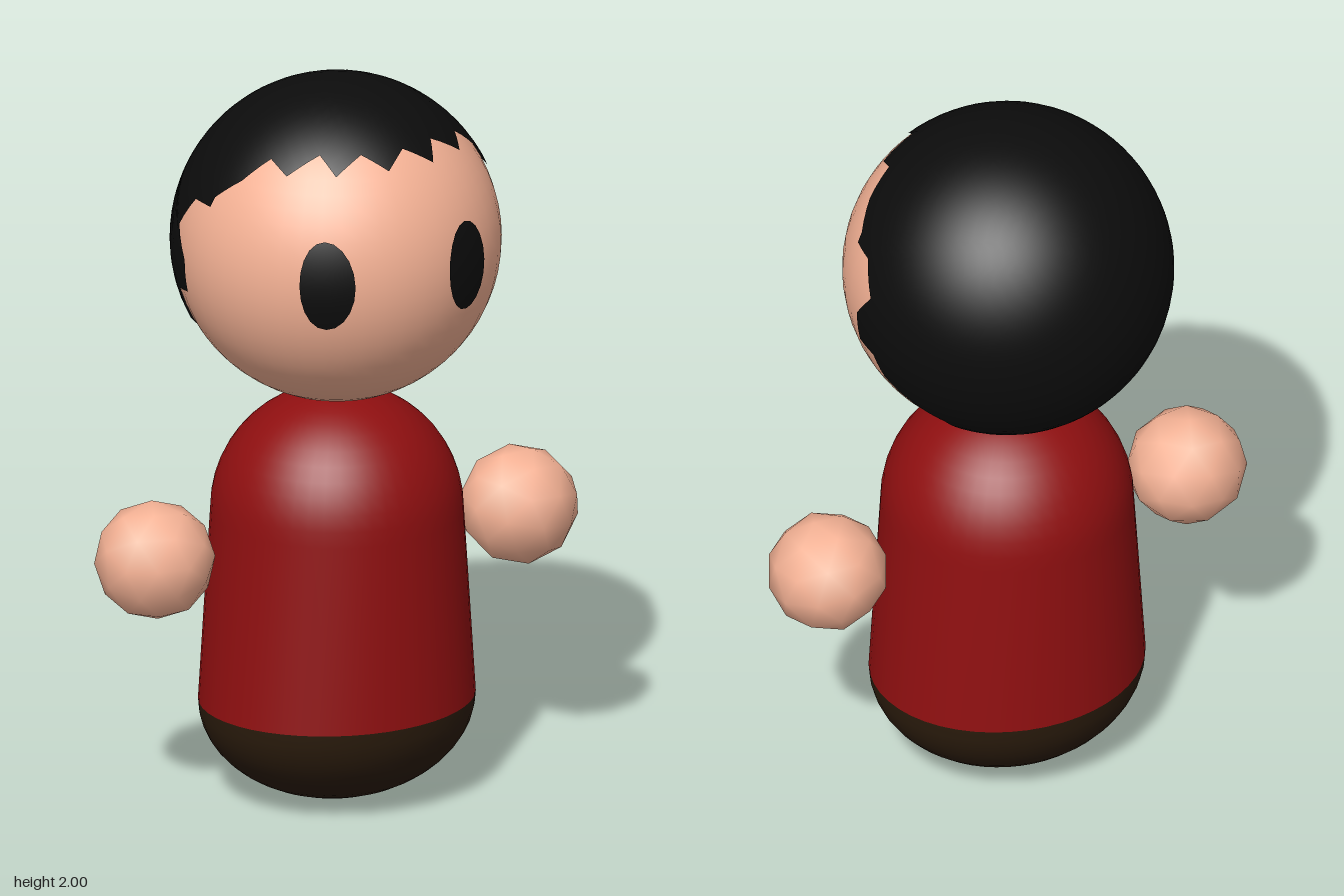
import * as THREE from 'three';

const HEAD_Y = 1.56, HEAD_R = 0.437, SHELL_R = 0.443;

const material = (color, options = {}) =>
  new THREE.MeshStandardMaterial({ color, ...options });

function makeMesh(name, geometry, mat) {
  const mesh = new THREE.Mesh(geometry, mat);
  mesh.name = name;
  return mesh;
}

// Grid of points on a sphere: rows from the patch centre out to its closed rim.
function spherePatch(columns, rows, pointAt) {
  const positions = [], normals = [], index = [];
  for (let r = 0; r <= rows; r++) {
    for (let c = 0; c < columns; c++) {
      const n = pointAt(c, r / rows).normalize();
      normals.push(n.x, n.y, n.z);
      positions.push(n.x * SHELL_R, n.y * SHELL_R, n.z * SHELL_R);
      if (r === rows) continue;
      const next = (c + 1) % columns;
      const a = r * columns + c, b = r * columns + next;
      const d = a + columns, e = b + columns;
      if (r > 0) index.push(a, d, b);
      index.push(b, d, e);
    }
  }
  const geometry = new THREE.BufferGeometry();
  geometry.setAttribute('position', new THREE.Float32BufferAttribute(positions, 3));
  geometry.setAttribute('normal', new THREE.Float32BufferAttribute(normals, 3));
  geometry.setIndex(index);
  return geometry;
}

// Jagged hairline on one side, from forehead to nape, relative to the head centre.
const HAIRLINE = [
  [0, 0.29, 0.33], [0.06, 0.33, 0.285], [0.14, 0.285, 0.303], [0.16, 0.33, 0.243],
  [0.25, 0.28, 0.23], [0.265, 0.31, 0.165], [0.335, 0.25, 0.135], [0.38, 0.19, 0.077],
  [0.4, 0.167, 0.075], [0.405, 0.165, 0], [0.425, 0.08, -0.058], [0.44, 0, 0],
  [0.43, -0.089, 0], [0.42, -0.1, -0.063], [0.395, -0.174, -0.08], [0.31, -0.26, -0.17],
  [0.275, -0.285, -0.19], [0.236, -0.327, -0.175], [0.2, -0.338, -0.2],
  [0.156, -0.37, -0.18], [0.106, -0.36, -0.23], [0.05, -0.375, -0.225], [0, -0.365, -0.245],
];

function hairGeometry() {
  const half = HAIRLINE.map((p) => new THREE.Vector3(...p).normalize());
  const mirrored = half.slice(1, -1).reverse().map((p) => new THREE.Vector3(-p.x, p.y, p.z));
  const corners = [...half, ...mirrored];
  const split = 3, rim = [];
  corners.forEach((p, i) => {
    const q = corners[(i + 1) % corners.length];
    for (let s = 0; s < split; s++) rim.push(p.clone().lerp(q, s / split).normalize());
  });
  const crown = new THREE.Vector3(0, 0.64, -0.77).normalize();
  // Sweep along great circles from the crown to the hairline
  return spherePatch(rim.length, 18, (c, t) => {
    const angle = crown.angleTo(rim[c]);
    return crown.clone().multiplyScalar(Math.sin((1 - t) * angle))
      .addScaledVector(rim[c], Math.sin(t * angle));
  });
}

// Tall oval lying on the face
function eyeGeometry(side) {
  const columns = 20;
  return spherePatch(columns, 5, (c, t) => {
    const a = (c / columns) * Math.PI * 2;
    const x = side * 0.203 + 0.066 * t * Math.cos(a);
    const y = 0.013 + 0.122 * t * Math.sin(a);
    return new THREE.Vector3(x, y, Math.sqrt(SHELL_R ** 2 - x * x - y * y));
  });
}

// Turned profile whose oval base becomes round towards the shoulders
function bodyGeometry(profile) {
  const geometry = new THREE.LatheGeometry(profile, 48);
  const pos = geometry.attributes.position, nor = geometry.attributes.normal;
  const n = new THREE.Vector3();
  for (let i = 0; i < pos.count; i++) {
    const t = THREE.MathUtils.clamp((pos.getY(i) - 0.275) / 0.525, 0, 1);
    const depth = 0.332 / THREE.MathUtils.lerp(0.375, 0.337, t);
    pos.setZ(i, pos.getZ(i) * depth);
    n.fromBufferAttribute(nor, i);
    n.z /= depth;
    n.normalize();
    nor.setXYZ(i, n.x, n.y, n.z);
  }
  return geometry;
}

// Quarter-ellipse profile points between two angles
function arc(radius, height, y, from, to, steps = 12) {
  return Array.from({ length: steps + 1 }, (_, i) => {
    const a = THREE.MathUtils.lerp(from, to, i / steps);
    return new THREE.Vector2(Math.max(0, radius * Math.cos(a)), y + height * Math.sin(a));
  });
}

export function createModel() {
  const model = new THREE.Group();
  model.name = 'figure';
  const skin = material(0xf5b295);
  const red = material(0x8f0f10);
  const brown = material(0x2a1b0c);
  const black = material(0x0c0c0c, { side: THREE.DoubleSide });

  // Body: dark rounded base and red domed torso
  const quarter = Math.PI / 2;
  model.add(makeMesh('base', bodyGeometry(arc(0.375, 0.27, 0.275, -quarter, 0)), brown));
  const torso = [new THREE.Vector2(0.375, 0.275), new THREE.Vector2(0.356, 0.54),
    ...arc(0.337, 0.335, 0.8, 0, quarter)];
  model.add(makeMesh('torso', bodyGeometry(torso), red));

  // Head with hair and eyes
  const head = new THREE.Group();
  head.name = 'head';
  head.position.y = HEAD_Y;
  head.add(makeMesh('face', new THREE.SphereGeometry(HEAD_R, 48, 32), skin));
  head.add(makeMesh('hair', hairGeometry(), black));
  model.add(head);

  // Paired parts
  const outward = new THREE.Vector3(1, 1, 1).normalize();
  for (const [label, side] of [['left', 1], ['right', -1]]) {
    head.add(makeMesh(label + 'Eye', eyeGeometry(side), black));
    const hand = makeMesh(label + 'Hand', new THREE.IcosahedronGeometry(0.161, 1), skin);
    hand.quaternion.setFromUnitVectors(outward, new THREE.Vector3(side, 0, 0));
    hand.position.set(side * 0.53, 0.73, 0);
    model.add(hand);
  }
  return model;
}
